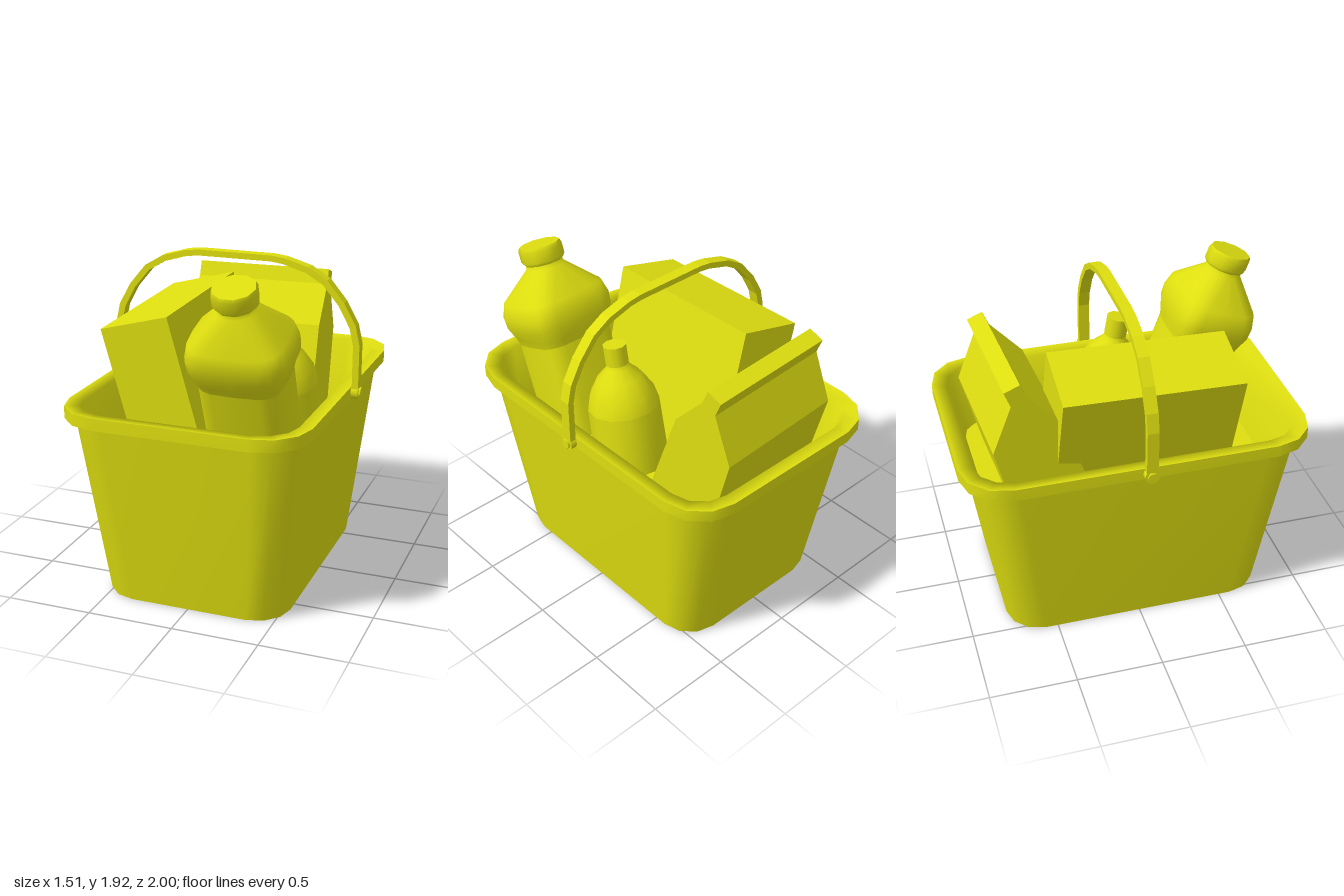
import * as THREE from 'three';
import { mergeGeometries } from 'three/addons/utils/BufferGeometryUtils.js';

const yellow = new THREE.MeshStandardMaterial({ color: 0xdede10 });
yellow.name = 'yellow';

function part(name, geometry, parent) {
  const mesh = new THREE.Mesh(geometry, yellow);
  mesh.name = name;
  parent.add(mesh);
  return mesh;
}

// Rounded rectangle with three facets per corner
function rectRing(hx, hz, r, y) {
  const pts = [];
  [[1, 1], [-1, 1], [-1, -1], [1, -1]].forEach(([sx, sz], q) => {
    for (let i = 0; i < 4; i++) {
      const a = (q + i / 3) * Math.PI / 2;
      pts.push([sx * (hx - r) + r * Math.cos(a), y, sz * (hz - r) + r * Math.sin(a)]);
    }
  });
  return pts;
}

// Superellipse: e = 1 is round, smaller is squarer
function ovalRing(hx, hz, e, y, n = 20) {
  const f = v => Math.sign(v) * Math.pow(Math.abs(v) < 1e-9 ? 0 : Math.abs(v), e);
  return Array.from({ length: n }, (_, i) => {
    const a = i / n * Math.PI * 2;
    return [hx * f(Math.cos(a)), y, hz * f(Math.sin(a))];
  });
}

// Skin stacked rings smoothly
function skin(rings) {
  const n = rings[0].length, index = [];
  for (let i = 0; i < rings.length - 1; i++) {
    for (let j = 0; j < n; j++) {
      const a = i * n + j, b = i * n + (j + 1) % n, c = a + n, d = b + n;
      index.push(a, c, b, b, c, d);
    }
  }
  return finish(rings.flat(2), index);
}

// Flat lid over one ring
function lid(ring, up) {
  const index = [];
  for (let j = 1; j < ring.length - 1; j++) index.push(0, up ? j + 1 : j, up ? j : j + 1);
  return finish(ring.flat(), index);
}

function finish(positions, index) {
  const g = new THREE.BufferGeometry();
  g.setAttribute('position', new THREE.Float32BufferAttribute(positions, 3));
  g.setIndex(index);
  g.computeVertexNormals();
  return g;
}

// Sections are smooth inside and sharp where they meet; both ends are closed
function loft(sections) {
  const last = sections[sections.length - 1];
  return mergeGeometries([
    lid(sections[0][0], false),
    ...sections.map(skin),
    lid(last[last.length - 1], true),
  ]);
}

// Extrude an outline, centred on its depth
function slab(points, depth) {
  const shape = new THREE.Shape(points.map(p => new THREE.Vector2(...p)));
  return new THREE.ExtrudeGeometry(shape, { depth, bevelEnabled: false }).translate(0, 0, -depth / 2);
}

export function createModel() {
  const model = new THREE.Group();
  model.name = 'filledBasket';

  // Tub: outer wall, rim underside, rim band, rim top with inner wall
  const neck = rectRing(0.655, 0.93, 0.23, 1.065);
  const rimLow = rectRing(0.7, 1, 0.26, 1.09);
  const rimHigh = rectRing(0.7, 1, 0.26, 1.16);
  part('tub', loft([
    [rectRing(0.54, 0.77, 0.2, 0), neck],
    [neck, rimLow],
    [rimLow, rimHigh],
    [rimHigh, rectRing(0.62, 0.915, 0.2, 1.15), rectRing(0.55, 0.83, 0.15, 0.78)],
  ]), model);

  // Carrying handle: half outline mirrored, outer edge then inner edge
  const outer = [[0.745, 1.13], [0.745, 1.41], [0.72, 1.52], [0.65, 1.645], [0.55, 1.765], [0.44, 1.83], [0.3, 1.87], [0.22, 1.88]];
  const inner = [[0.708, 1.13], [0.708, 1.405], [0.685, 1.505], [0.62, 1.625], [0.525, 1.738], [0.425, 1.797], [0.29, 1.837], [0.215, 1.846]];
  const flip = list => list.map(([x, y]) => [-x, y]).reverse();
  part('handle', slab([...outer, ...flip(outer), ...flip(inner).reverse(), ...inner.slice().reverse()], 0.065), model);

  // Handle eyes and hexagonal pins
  for (const s of [1, -1]) {
    const eye = part('handleEye', new THREE.CylinderGeometry(0.042, 0.042, 0.037, 12), model);
    eye.position.set(s * 0.7265, 1.13, 0);
    const pin = part('handlePin', new THREE.CylinderGeometry(0.03, 0.03, 0.07, 6), model);
    pin.position.set(s * 0.722, 1.13, 0);
    eye.rotation.z = pin.rotation.z = Math.PI / 2;
  }

  // Large squarish bottle leaning forward; origin at the top of its cap
  const jug = new THREE.Group();
  jug.name = 'largeBottle';
  jug.position.set(0.28, 1.877, 0.775);
  jug.rotation.x = 0.35;
  model.add(jug);
  const waist = ovalRing(0.238, 0.205, 0.5, -0.55);
  part('largeBottleBody', loft([
    [ovalRing(0.235, 0.205, 0.5, -1.12), waist],
    [waist, ovalRing(0.25, 0.215, 0.5, -0.51), ovalRing(0.28, 0.235, 0.5, -0.44),
      ovalRing(0.285, 0.237, 0.5, -0.37), ovalRing(0.265, 0.225, 0.55, -0.29),
      ovalRing(0.11, 0.11, 1, -0.13), ovalRing(0.105, 0.105, 1, -0.08)],
  ]), jug);
  const jugCap = [[-0.105, 0.113], [-0.085, 0.127], [-0.02, 0.127], [0, 0.118]]
    .map(([y, r]) => ovalRing(r, r, 1, y, 10));
  part('largeBottleCap', loft([jugCap]), jug);

  // Small round bottle; origin at the top of its cap
  const flask = new THREE.Group();
  flask.name = 'smallBottle';
  flask.position.set(0.3, 1.53, 0.105);
  flask.rotation.x = 0.18;
  model.add(flask);
  const flaskRings = [[-0.75, 0.215], [-0.38, 0.207], [-0.29, 0.185], [-0.2, 0.13], [-0.14, 0.07], [-0.1, 0.06]]
    .map(([y, r]) => ovalRing(r, r, 1, y, 12));
  part('smallBottleBody', loft([flaskRings.slice(0, 2), flaskRings.slice(1)]), flask);
  part('smallBottleCap', new THREE.CylinderGeometry(0.068, 0.068, 0.115, 10).translate(0, -0.0575, 0), flask);

  // Tilted carton
  const carton = part('carton', new THREE.BoxGeometry(0.41, 0.9, 1.02).translate(0, -0.45, 0), model);
  carton.position.set(-0.378, 1.586, 0.07);
  carton.rotation.set(0.024, 0, 0.26);

  // Paper bag with folded lip: side profile as [-z, y], swept along x
  const bag = part('paperBag', slab([
    [0.24, 0.78], [0.7, 0.74], [0.83, 1.25], [0.72, 1.53], [0.755, 1.62],
    [0.665, 1.655], [0.63, 1.57], [0.44, 1.36],
  ], 0.82).rotateY(Math.PI / 2), model);
  bag.geometry.translate(0, 0, 0.65);
  bag.position.set(-0.06, 0, -0.65);
  bag.rotation.y = 0.055;

  return model;
}
